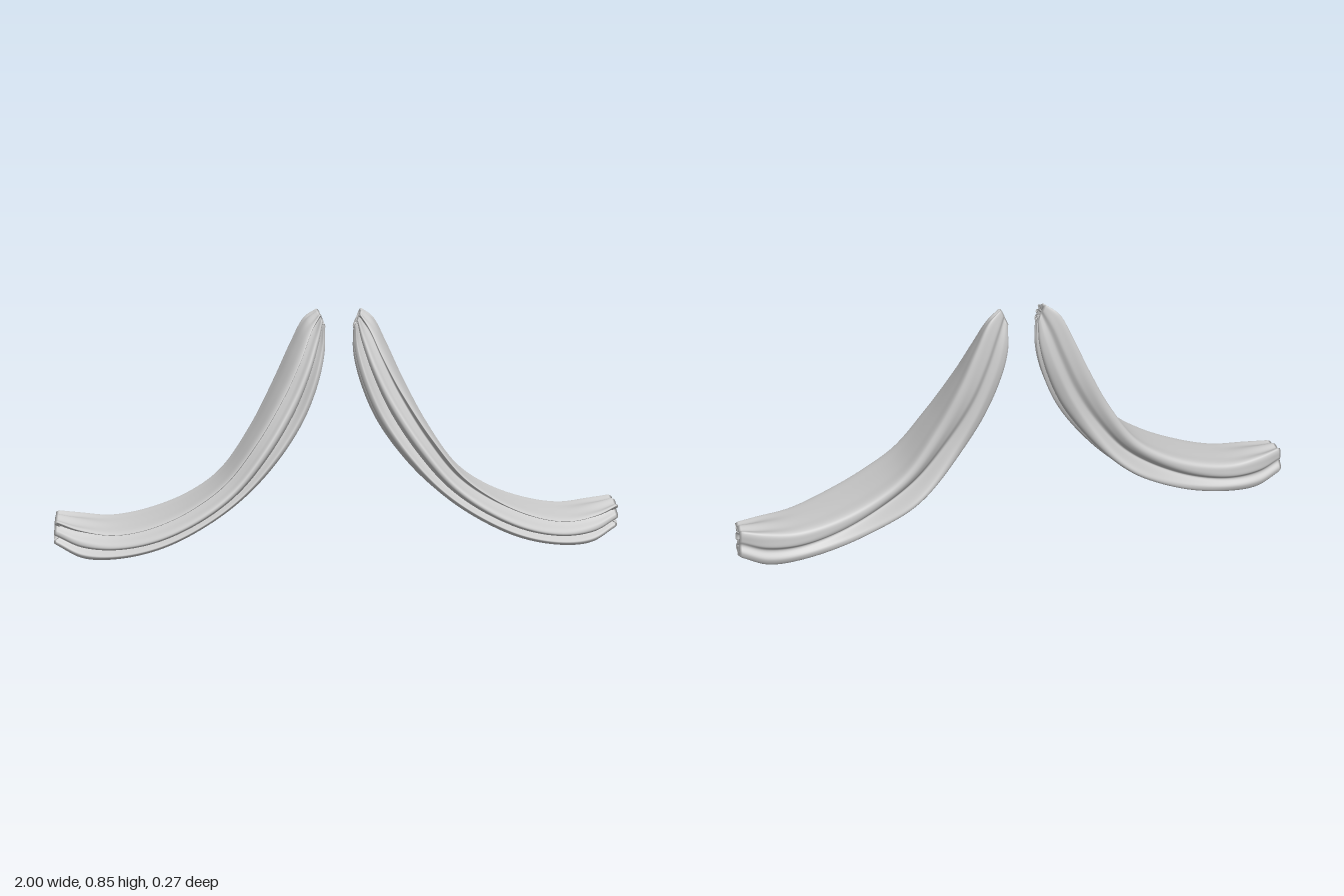
import * as THREE from 'three';

const { smoothstep: smooth } = THREE.MathUtils;

// Upper back edge and lower front edge of the drape: x, y, z
const UPPER = [
  [0.08, 0.85, -0.095], [0.12, 0.82, -0.112], [0.17, 0.725, -0.124], [0.228, 0.6, -0.126],
  [0.313, 0.44, -0.112], [0.42, 0.29, -0.105], [0.53, 0.212, -0.105], [0.67, 0.157, -0.11],
  [0.80, 0.135, -0.11], [0.91, 0.148, -0.105], [0.98, 0.16, -0.09],
];
const LOWER = [
  [0.05, 0.78, -0.04], [0.05, 0.70, -0.02], [0.075, 0.59, 0.022], [0.13, 0.46, 0.06],
  [0.22, 0.33, 0.098], [0.33, 0.215, 0.12], [0.46, 0.12, 0.134], [0.62, 0.04, 0.13],
  [0.78, 0.002, 0.1], [0.90, 0.002, 0.06], [0.99, 0.045, 0.015],
];

// Folded cloth section: u runs back to front, v bottom to top
const SECTION = [
  [0, 0.9], [0.05, 0.99], [0.3, 0.99], [0.65, 0.98], [0.94, 0.96], [1, 0.92], [0.93, 0.87],
  [0.68, 0.79], [0.78, 0.66], [0.91, 0.56], [0.92, 0.43], [0.8, 0.35], [0.53, 0.5],
  [0.62, 0.28], [0.74, 0.15], [0.62, 0.04], [0.43, 0.28], [0.43, 0.06], [0.28, 0],
  [0.2, 0.24], [0.15, 0.08], [0.04, 0.12], [0, 0.3], [0.11, 0.5], [0.02, 0.66],
];

function drapeGeometry(side) {
  const rings = 90, around = 160;
  const toCurve = (pts) => new THREE.CatmullRomCurve3(pts.map((p) => new THREE.Vector3(...p)));
  const upper = toCurve(UPPER), lower = toCurve(LOWER);
  const loop = new THREE.CatmullRomCurve3(SECTION.map(([u, v]) => new THREE.Vector3(u, v, 0)), true);
  const section = Array.from({ length: around }, (_, j) => loop.getPoint(j / around));

  // One ring of the folded section; shrink and push form the tucked ends
  const ring = (t, shrink = 1, push = 0) => {
    const a = upper.getPoint(t), b = lower.getPoint(t);
    const gather = 1 - smooth(t, 0, 0.15) + smooth(t, 0.75, 1);
    const droop = 0.22 * (1 - smooth(t, 0.15, 0.6)) + 0.1 * smooth(t, 0.5, 0.8);
    const bulge = 0.032 * Math.exp(-(((t - 0.55) / 0.1) ** 2)) - 0.014 * Math.exp(-(((t - 0.3) / 0.1) ** 2));
    const along = upper.getTangent(t);
    return section.map(({ x: u0, y: v0 }) => {
      // pleats wander lengthwise; the sheet droops forward and puckers at the ends
      const under = 1 - smooth(v0, 0.55, 0.85);
      let u = u0 + 0.04 * under * Math.sin(t * 9 + v0 * 5);
      let v = v0 + 0.03 * Math.sin(t * 7 + u0 * 4) * under * v0;
      v -= droop * u0 * u0 * smooth(v0, 0.3, 0.95);
      v -= 0.04 * gather * (1 - under) * (1 - Math.cos(u0 * 12.5));
      u = 0.5 + (u - 0.5) * shrink;
      v = 0.5 + (v - 0.5) * shrink;
      const back = (1 - smooth(u, 0, 0.4)) * (1 - smooth(v, 0.2, 0.6));
      return [
        side * (b.x + (a.x - b.x) * v + along.x * push),
        b.y + (a.y - b.y) * v + along.y * push,
        a.z + (b.z - a.z) * u - bulge * back,
      ];
    });
  };

  const all = [ring(0, 0.1, 0.02), ring(0, 0.5, 0.005), ring(0, 0.85, -0.006)];
  for (let i = 0; i <= rings; i++) all.push(ring(i / rings));
  all.push(ring(1, 0.9, 0.01), ring(1, 0.6, -0.005), ring(1, 0.08, -0.03));

  const index = [];
  for (let i = 0; i < all.length - 1; i++) {
    for (let j = 0; j < around; j++) {
      const k = (j + 1) % around;
      const a = i * around + j, b = i * around + k, c = a + around, d = b + around;
      if (side > 0) index.push(a, b, c, b, d, c);
      else index.push(a, c, b, b, c, d);
    }
  }
  const geometry = new THREE.BufferGeometry();
  geometry.setAttribute('position', new THREE.Float32BufferAttribute(all.flat(2), 3));
  geometry.setIndex(index);
  geometry.computeVertexNormals();
  return geometry;
}

export function createModel() {
  const model = new THREE.Group();
  model.name = 'drapedSwags';
  const cloth = new THREE.MeshStandardMaterial({ color: 0xcccccc, side: THREE.DoubleSide });
  for (const [name, side] of [['leftSwag', 1], ['rightSwag', -1]]) {
    const swag = new THREE.Mesh(drapeGeometry(side), cloth);
    swag.name = name;
    model.add(swag);
  }
  return model;
}
